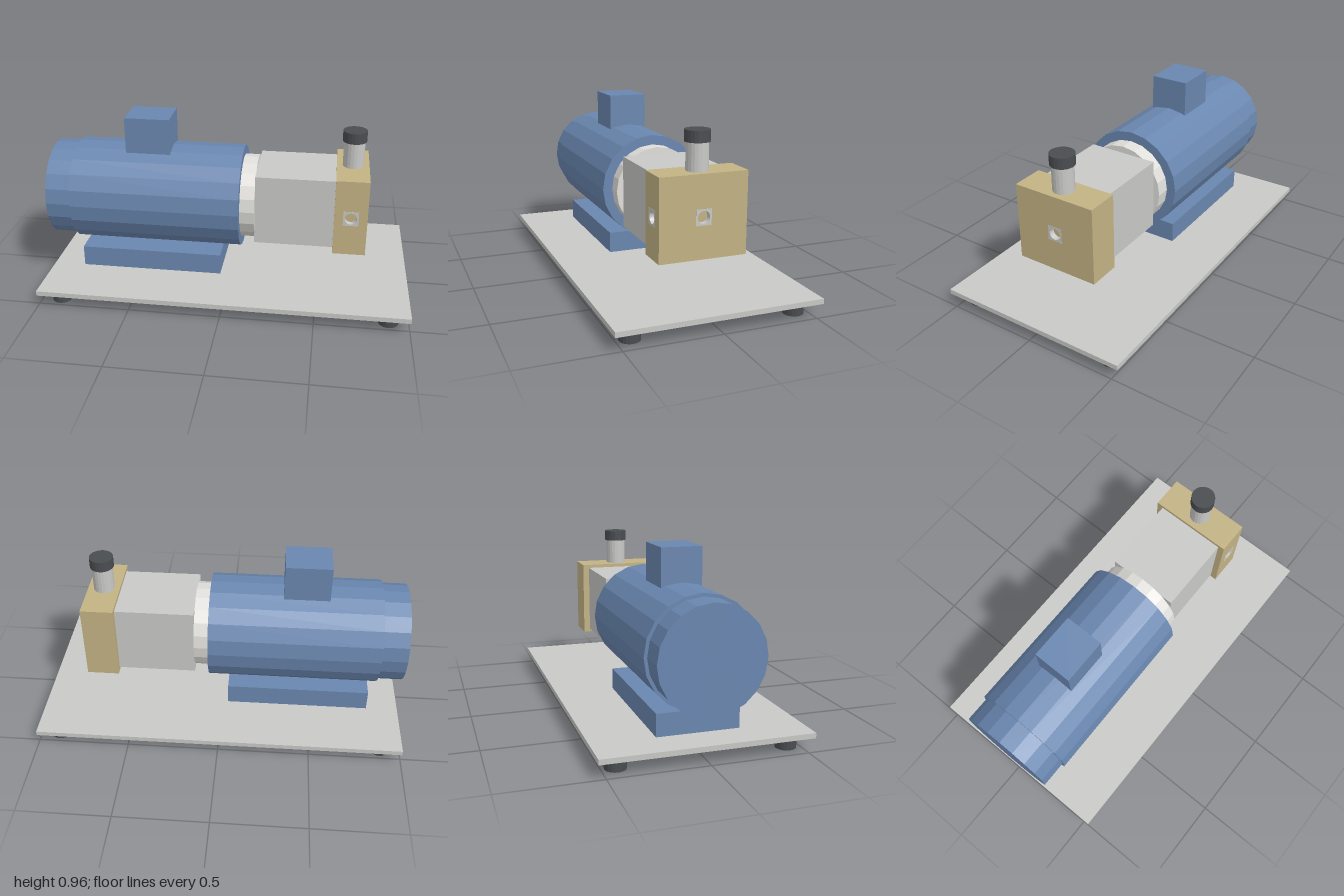
import * as THREE from 'three';

const mat = (name, color, flatShading = false) => {
  const m = new THREE.MeshStandardMaterial({ color, flatShading });
  m.name = name;
  return m;
};

export function createModel() {
  const group = new THREE.Group();
  const blue = mat('motorBlue', 0x6a87b0, true);
  const grey = mat('plateGrey', 0xc9c9c7, true);
  const pale = mat('paleMetal', 0xe0dfdb, true);
  const brass = mat('brass', 0xc3b385, true);
  const dark = mat('darkRubber', 0x4a4d50, true);

  const add = (name, geometry, material) => {
    const mesh = new THREE.Mesh(geometry, material);
    mesh.name = name;
    group.add(mesh);
    return mesh;
  };
  // Box given by its limits on each axis
  const box = (name, [x0, x1], [y0, y1], [z0, z1], material) =>
    add(name, new THREE.BoxGeometry(x1 - x0, y1 - y0, z1 - z0)
      .translate((x0 + x1) / 2, (y0 + y1) / 2, (z0 + z1) / 2), material);
  // Upright cylinder
  const post = (name, x, z, y0, y1, r, material) =>
    add(name, new THREE.CylinderGeometry(r, r, y1 - y0, 20)
      .translate(x, (y0 + y1) / 2, z), material);
  // Cylinder lying on the shaft axis
  const axisY = 0.4975;
  const drum = (name, x0, x1, r, material) =>
    add(name, new THREE.CylinderGeometry(r, r, x1 - x0, 20)
      .rotateZ(-Math.PI / 2).translate((x0 + x1) / 2, axisY, 0), material);

  // Base plate on four feet
  box('basePlate', [-1, 1], [0.07, 0.097], [-0.535, 0.535], grey);
  for (const x of [-0.892, 0.892])
    for (const z of [-0.43, 0.43]) post('foot', x, z, 0, 0.07, 0.053, dark);

  // Motor
  box('motorPedestal', [-0.825, -0.038], [0.097, 0.213], [-0.213, 0.213], blue);
  drum('motorBody', -0.86, 0.07, 0.285, blue);
  drum('fanCover', -1, -0.86, 0.268, blue);
  box('terminalBox', [-0.573, -0.326], [0.74, 0.958], [-0.107, 0.107], blue);

  // Coupling and gear housing
  drum('couplingRing', 0.07, 0.15, 0.233, pale);
  box('gearHousing', [0.15, 0.578], [0.303, 0.692], [-0.196, 0.196], grey);

  // Pump head: solid core, plus two outer panels with square openings for ports
  const wall = 0.03, portHalf = 0.041;
  const square = (Type, h) => new Type([
    new THREE.Vector2(-h, -h), new THREE.Vector2(h, -h),
    new THREE.Vector2(h, h), new THREE.Vector2(-h, h)]);
  const extrude = (shape, depth) =>
    new THREE.ExtrudeGeometry(shape, { depth, bevelEnabled: false, curveSegments: 12 });
  const panel = (u0, u1) => {
    const v0 = 0.285 - axisY, v1 = 0.711 - axisY;
    const s = new THREE.Shape([
      new THREE.Vector2(u0, v0), new THREE.Vector2(u1, v0),
      new THREE.Vector2(u1, v1), new THREE.Vector2(u0, v1)]);
    s.holes.push(square(THREE.Path, portHalf));
    return extrude(s, wall);
  };
  // Square port insert with a round bore
  const port = () => {
    const s = square(THREE.Shape, portHalf);
    s.holes.push(new THREE.Path().absarc(0, 0, 0.032, 0, Math.PI * 2, true));
    return extrude(s, wall + 0.001);
  };
  const headX = 0.666;
  box('pumpHeadCore', [0.578, 0.724], [0.285, 0.711], [-0.232, 0.202], brass);
  add('pumpHeadFrontPanel', panel(0.578 - headX, 0.754 - headX), brass)
    .position.set(headX, axisY, 0.202);
  add('frontPort', port(), grey).position.set(headX, axisY, 0.202);
  for (const [name, geometry, material] of [
    ['pumpHeadEndPanel', panel(-0.202, 0.232), brass], ['endPort', port(), grey]]) {
    const mesh = add(name, geometry, material);
    mesh.rotation.y = Math.PI / 2;
    mesh.position.set(0.724, axisY, 0);
  }

  // Relief valve on top of the head
  post('valveStem', headX, 0, 0.711, 0.853, 0.057, grey);
  post('valveCap', headX, 0, 0.853, 0.912, 0.065, dark);

  return group;
}
